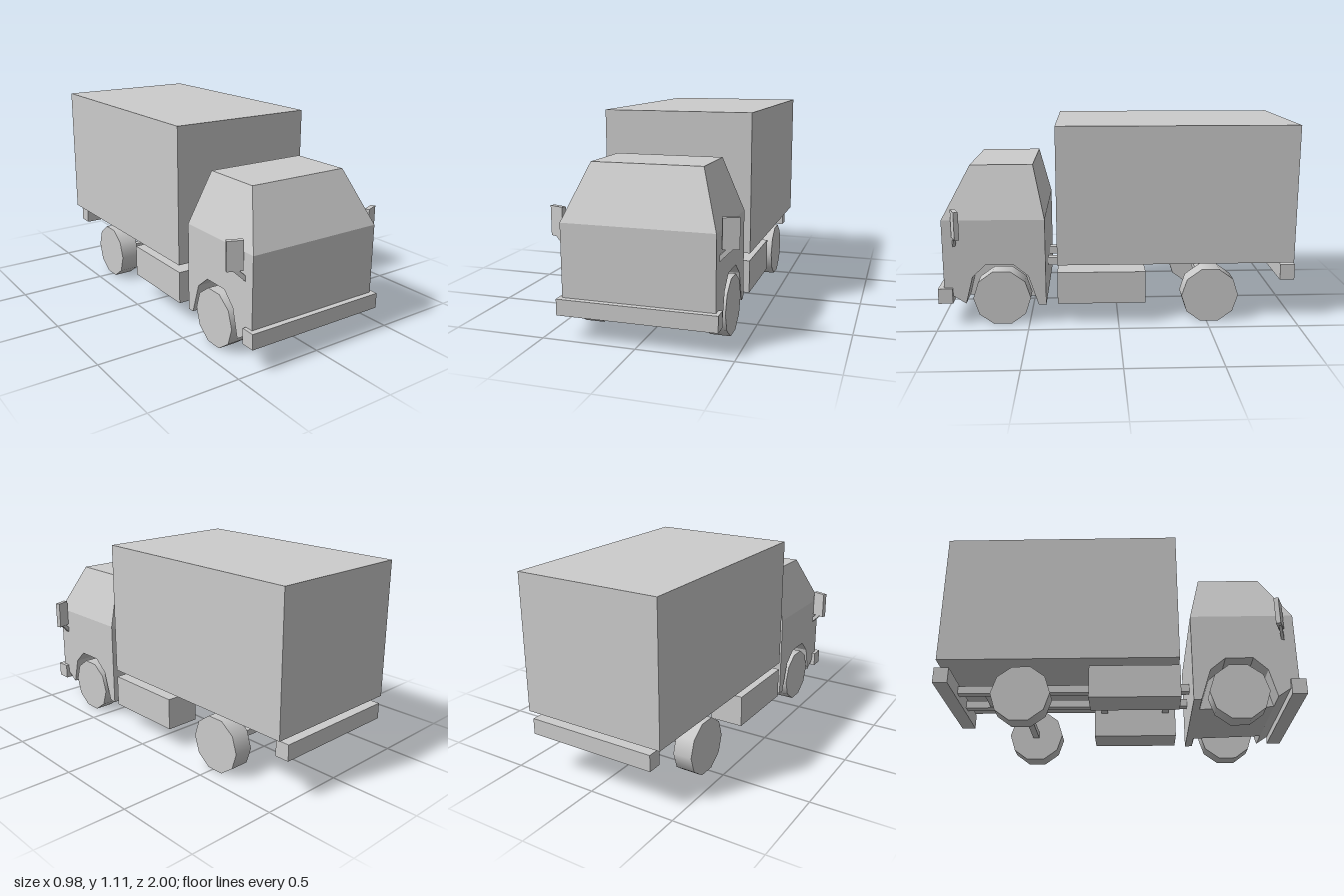
import * as THREE from 'three';

export function createModel() {
  const truck = new THREE.Group();
  truck.name = 'boxTruck';
  const mat = new THREE.MeshStandardMaterial({ color: 0xcccccc });

  const add = (name, geo, parent = truck) => {
    const m = new THREE.Mesh(geo, mat);
    m.name = name;
    parent.add(m);
    return m;
  };
  // Box given by its limits on each axis
  const box = (name, x0, x1, y0, y1, z0, z1) => {
    const g = new THREE.BoxGeometry(x1 - x0, y1 - y0, z1 - z0);
    g.translate((x0 + x1) / 2, (y0 + y1) / 2, (z0 + z1) / 2);
    return add(name, g);
  };
  // Side profile of [z, y] points, extruded from x0 to x1
  const profile = (name, pts, x0, x1) => {
    const shape = new THREE.Shape(pts.map(([z, y]) => new THREE.Vector2(z, y)));
    const g = new THREE.ExtrudeGeometry(shape, { depth: x1 - x0, bevelEnabled: false });
    g.rotateY(-Math.PI / 2);
    g.translate(x1, 0, 0);
    return add(name, g);
  };

  // Cargo body
  box('cargoBox', -0.42, 0.42, 0.345, 1.112, -0.98, 0.34);

  // Lower cab: a middle block and two side panels with wheel arches
  const top = [[0.405, 0.6], [0.968, 0.6]];
  const nose = [[0.968, 0.2], [0.85, 0.122]];
  const arch = [[0.81, 0.275], [0.735, 0.347], [0.585, 0.347], [0.502, 0.28], [0.447, 0.11]];
  const heel = [0.405, 0.108];
  profile('cabMiddle', [...top, ...nose, heel], -0.25, 0.25);
  profile('cabSideLeft', [...top, ...nose, ...arch, heel], 0.25, 0.4);
  profile('cabSideRight', [...top, ...nose, ...arch, heel], -0.4, -0.25);

  // Upper cab: a box tapered towards the roof
  const upper = new THREE.BoxGeometry(2, 1, 2);
  const p = upper.attributes.position;
  for (let i = 0; i < p.count; i++) {
    const roof = p.getY(i) > 0;
    const z = p.getZ(i) > 0 ? (roof ? 0.815 : 0.968) : (roof ? 0.47 : 0.405);
    p.setXYZ(i, p.getX(i) * (roof ? 0.295 : 0.4), roof ? 0.888 : 0.6, z);
  }
  upper.computeVertexNormals();
  add('cabUpper', upper);

  // Bumpers
  box('frontBumper', -0.42, 0.42, 0.13, 0.215, 0.92, 1);
  box('rearBumper', -0.375, 0.375, 0.23, 0.32, -1, -0.918);

  // Chassis cross members
  for (const z of [0.28, -0.09]) box('tankCrossMember', -0.23, 0.23, 0.265, 0.3, z - 0.02, z + 0.02);
  for (const z of [-0.47, -0.75]) box('rearCrossMember', -0.1, 0.1, 0.265, 0.3, z - 0.02, z + 0.02);

  // Axles
  for (const z of [0.65, -0.515]) box('axle', -0.31, 0.31, 0.135, 0.17, z - 0.018, z + 0.018);

  // Paired parts
  for (const s of [1, -1]) {
    const pair = (name, a, b, ...rest) => box(name, Math.min(s * a, s * b), Math.max(s * a, s * b), ...rest);
    pair('chassisRail', 0.09, 0.14, 0.26, 0.305, -0.92, 0.41);
    pair('sideTank', 0.22, 0.418, 0.12, 0.302, -0.15, 0.34);

    for (const [name, z] of [['frontWheel', 0.65], ['rearWheel', -0.515]]) {
      const g = new THREE.CylinderGeometry(0.16, 0.16, 0.11, 10);
      g.rotateZ(Math.PI / 2);
      add(name, g).position.set(s * 0.35, 0.153, z);
    }

    // Mirror angled back at its outer end, on a slanted arm
    const mirror = new THREE.Group();
    mirror.name = 'sideMirror';
    truck.add(mirror);
    const head = add('mirrorHead', new THREE.BoxGeometry(0.084, 0.155, 0.026), mirror);
    head.position.set(s * 0.448, 0.588, 0.885);
    head.rotation.y = s * 0.38;
    const arm = add('mirrorArm', new THREE.BoxGeometry(0.1, 0.022, 0.016), mirror);
    arm.position.set(s * 0.425, 0.493, 0.895);
    arm.rotation.set(0, s * 0.3, s * 0.75);
  }
  return truck;
}
